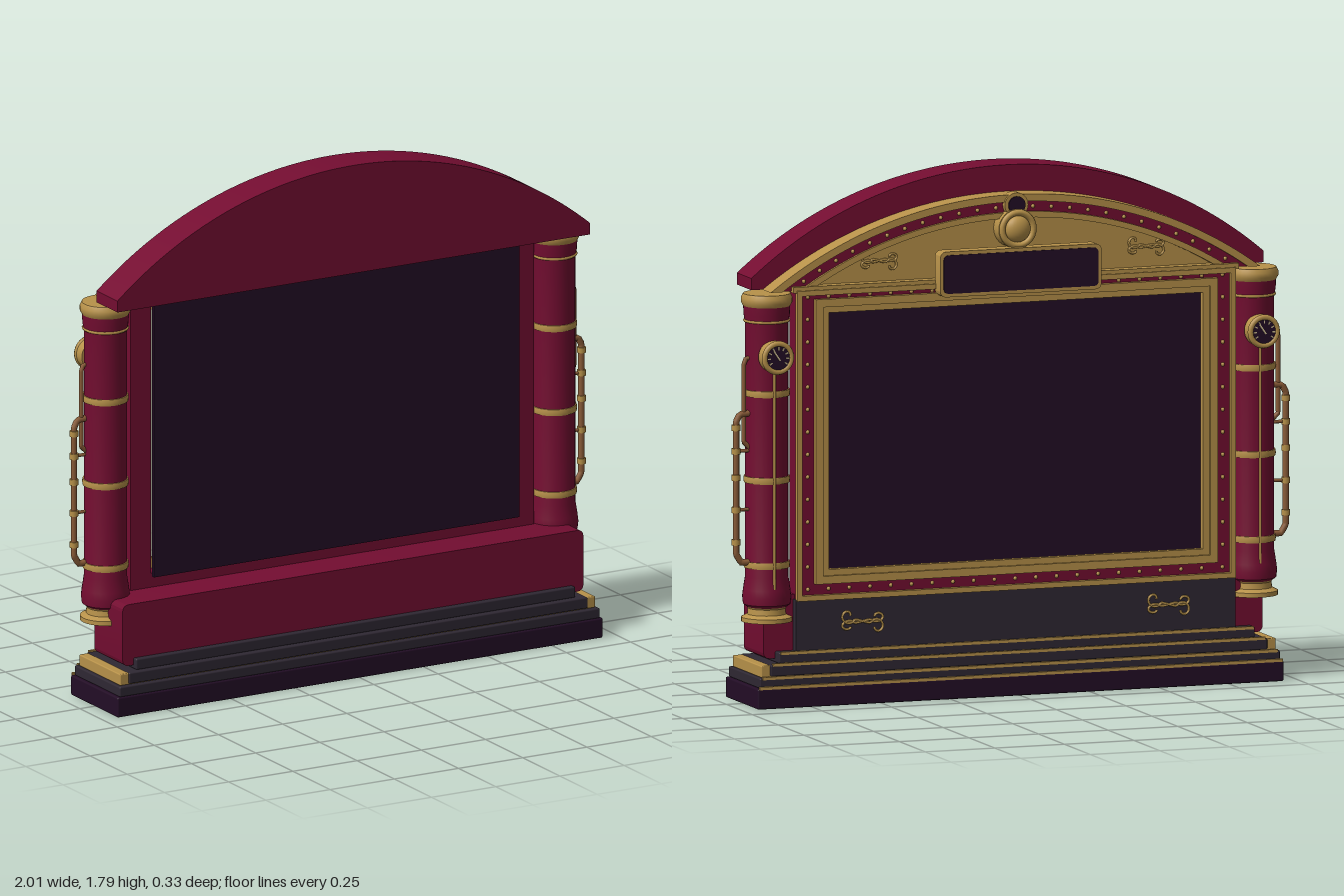
import * as THREE from 'three';
import { toCreasedNormals } from 'three/addons/utils/BufferGeometryUtils.js';
import { RoundedBoxGeometry } from 'three/addons/geometries/RoundedBoxGeometry.js';

function material(name, color) {
  const m = new THREE.MeshStandardMaterial({ color });
  m.name = name;
  return m;
}

export function createModel() {
  const crimson = material('crimson', 0x740d31);
  const gold = material('gold', 0xb8924a);
  const plum = material('darkPlum', 0x230d26);
  const charcoal = material('charcoal', 0x2f2833);
  const copper = material('copper', 0x8a5c38);
  const cream = material('cream', 0xd8c79a);

  const model = new THREE.Group();
  model.name = 'archedScreenCabinet';

  const add = (name, geo, mat, x = 0, y = 0, z = 0, parent = model) => {
    const mesh = new THREE.Mesh(geo, mat);
    mesh.name = name;
    mesh.position.set(x, y, z);
    parent.add(mesh);
    return mesh;
  };
  // box given by half width and y / z ranges
  const slab = (name, mat, hw, y0, y1, z0, z1, r = 0) => {
    const size = [hw * 2, y1 - y0, z1 - z0];
    const geo = r ? new RoundedBoxGeometry(...size, 2, r) : new THREE.BoxGeometry(...size);
    return add(name, geo, mat, 0, (y0 + y1) / 2, (z0 + z1) / 2);
  };
  const plate = (name, shape, mat, z0, z1) => {
    const geo = new THREE.ExtrudeGeometry(shape, { depth: z1 - z0, bevelEnabled: false, curveSegments: 40 });
    return add(name, toCreasedNormals(geo, 0.5), mat, 0, 0, z0);
  };
  const rect = (hw, y0, y1, path = new THREE.Shape()) => {
    path.moveTo(-hw, y0).lineTo(hw, y0).lineTo(hw, y1).lineTo(-hw, y1).closePath();
    return path;
  };
  const frame = (name, mat, outer, inner, z0, z1) => {
    const s = rect(...outer);
    s.holes.push(rect(...inner, new THREE.Path()));
    return plate(name, s, mat, z0, z1);
  };
  const roundRect = (hw, y0, y1, r) => {
    const s = new THREE.Shape();
    s.moveTo(-hw + r, y0).lineTo(hw - r, y0).quadraticCurveTo(hw, y0, hw, y0 + r);
    s.lineTo(hw, y1 - r).quadraticCurveTo(hw, y1, hw - r, y1);
    s.lineTo(-hw + r, y1).quadraticCurveTo(-hw, y1, -hw, y1 - r);
    s.lineTo(-hw, y0 + r).quadraticCurveTo(-hw, y0, -hw + r, y0);
    return s;
  };

  // stepped plinth
  slab('plinthBase', plum, 0.945, 0, 0.07, -0.157, 0.16, 0.006);
  slab('plinthStep', charcoal, 0.935, 0.07, 0.105, -0.148, 0.157, 0.005);
  slab('plinthGoldEnds', gold, 0.925, 0.105, 0.145, -0.135, 0.142, 0.004);
  slab('plinthMiddleStep', charcoal, 0.893, 0.108, 0.147, -0.14, 0.148, 0.005);
  slab('plinthTopStep', charcoal, 0.855, 0.147, 0.185, -0.12, 0.13, 0.005);
  [[0.94, 0.072, -0.156], [0.925, 0.104, -0.147], [0.885, 0.147, -0.137], [0.85, 0.182, -0.118]]
    .forEach(([hw, y, z]) => slab('plinthTrim', gold, hw, y - 0.005, y + 0.005, z - 0.005, z + 0.005));

  // lower body with a dark decorated panel behind
  plate('lowerBody', roundRect(0.897, 0.16, 0.375, 0.025), crimson, -0.08, 0.11);
  slab('lowerPanel', charcoal, 0.79, 0.18, 0.36, -0.105, -0.08);

  // screen frame
  frame('screenFrame', crimson, [0.785, 0.36, 1.412], [0.706, 0.424, 1.366], -0.1, -0.03);
  frame('outerFrameTrim', gold, [0.788, 0.355, 1.412], [0.77, 0.373, 1.394], -0.118, -0.098);
  frame('innerFrameTrim', gold, [0.722, 0.41, 1.38], [0.695, 0.437, 1.353], -0.118, -0.095);
  frame('innerFrameStep', gold, [0.706, 0.424, 1.366], [0.672, 0.458, 1.332], -0.108, -0.085);
  slab('screen', plum, 0.712, 0.418, 1.372, -0.012, 0);

  // rivets around the frame
  const rivetGeo = new THREE.SphereGeometry(0.007, 8, 6);
  const rivet = (x, y, z = -0.101) => add('rivet', rivetGeo, gold, x, y, z);
  for (let i = 0; i <= 20; i++) {
    const x = -0.745 + i * 0.0745;
    rivet(x, 0.392);
    rivet(x, 1.388);
  }
  for (let i = 1; i < 13; i++) {
    const y = 0.392 + (i * 0.996) / 13;
    rivet(-0.746, y);
    rivet(0.746, y);
  }

  // arched pediment
  const crown = new THREE.Shape();
  const ca = Math.asin((1.45 - 0.375) / 1.415);
  crown.moveTo(-0.92, 1.41).lineTo(0.92, 1.41).lineTo(0.92, 1.45);
  crown.absarc(0, 0.375, 1.415, ca, Math.PI - ca, false);
  crown.closePath();
  plate('pediment', crown, crimson, -0.025, 0.115);

  // concentric arch bands behind the pediment
  const cy = 0.22, foot = 1.41;
  const footAngle = (r) => Math.asin((foot - cy) / r);
  const arch = (rOut, rIn) => {
    const s = new THREE.Shape();
    const a = footAngle(rOut);
    s.absarc(0, cy, rOut, a, Math.PI - a, false);
    if (rIn) {
      const b = footAngle(rIn);
      s.absarc(0, cy, rIn, Math.PI - b, b, true);
    }
    s.closePath();
    return s;
  };
  plate('tympanum', arch(1.46), gold, -0.075, -0.025);
  plate('outerArchTrim', arch(1.48, 1.455), gold, -0.105, -0.025);
  plate('archBand', arch(1.457, 1.418), crimson, -0.093, -0.07);
  plate('innerArchTrim', arch(1.42, 1.4), gold, -0.104, -0.07);
  const ra = footAngle(1.437) + 0.04;
  for (let i = 0; i <= 24; i++) {
    const a = ra + ((Math.PI - 2 * ra) * i) / 24;
    rivet(Math.cos(a) * 1.437, cy + Math.sin(a) * 1.437, -0.094);
  }
  slab('tympanumSill', gold, 0.8, 1.405, 1.425, -0.112, -0.07);

  // keystone, rosette and plaque
  const disc = (name, r, depth, mat, x, y, z, r2 = r) => {
    const geo = new THREE.CylinderGeometry(r, r2, depth, 32);
    geo.rotateX(-Math.PI / 2);
    return add(name, geo, mat, x, y, z);
  };
  disc('keystone', 0.042, 0.04, gold, 0, 1.665, -0.095);
  disc('keystoneFace', 0.03, 0.008, plum, 0, 1.665, -0.117);
  disc('rosetteBase', 0.068, 0.05, gold, 0, 1.585, -0.1);
  add('rosetteRim', new THREE.TorusGeometry(0.056, 0.011, 10, 32), gold, 0, 1.585, -0.128);
  const dome = add('rosetteDome', new THREE.SphereGeometry(0.045, 24, 16), gold, 0, 1.585, -0.125);
  dome.scale.z = 0.6;
  plate('plaque', roundRect(0.29, 1.37, 1.525, 0.025), gold, -0.157, -0.105);
  plate('plaqueFace', roundRect(0.278, 1.382, 1.513, 0.02), plum, -0.161, -0.156);

  // scroll ornaments
  const scroll = (x, y, z, s) => {
    const g = new THREE.Group();
    g.name = 'scrollOrnament';
    g.position.set(x, y, z);
    for (const k of [0, 1]) {
      for (const m of [1, -1]) {
        const pts = [new THREE.Vector3(0, 0, 0)];
        for (let i = 0; i <= 12; i++) {
          const a = -2.6 + i * 0.48, r = s * (0.42 - i * 0.025);
          pts.push(new THREE.Vector3(s * 0.75 + Math.cos(a) * r, m * (s * 0.3 + Math.sin(a) * r) * (m < 0 ? 0.7 : 1), 0));
        }
        const tube = new THREE.TubeGeometry(new THREE.CatmullRomCurve3(pts), 36, 0.0045, 5);
        add('scroll', tube, gold, 0, 0, 0, g).rotation.z = k * Math.PI;
      }
    }
    model.add(g);
  };
  for (const sx of [-1, 1]) {
    scroll(sx * 0.55, 0.275, -0.107, 0.07);
    scroll(sx * 0.48, 1.495, -0.078, 0.06);
  }

  // columns
  const lathe = (pts) => toCreasedNormals(
    new THREE.LatheGeometry(pts.map(([r, y]) => new THREE.Vector2(r, y)), 32), 0.6);
  const shaftGeo = lathe([[0.06, 0.33], [0.08, 0.345], [0.083, 0.37], [0.08, 0.395], [0.073, 0.44],
    [0.073, 1.3], [0.078, 1.33], [0.08, 1.37]]);
  const footGeo = lathe([[0, 0.285], [0.086, 0.285], [0.086, 0.3], [0.066, 0.31], [0.064, 0.33], [0.073, 0.345], [0, 0.345]]);
  const capGeo = lathe([[0, 1.36], [0.08, 1.36], [0.087, 1.373], [0.087, 1.388], [0.08, 1.402], [0, 1.402]]);
  const ringGeo = lathe([[0.07, -0.011], [0.077, -0.011], [0.079, 0], [0.077, 0.011], [0.07, 0.011]]);
  const beadGeo = new THREE.TorusGeometry(0.075, 0.005, 6, 32).rotateX(Math.PI / 2);
  const v = (x, y) => new THREE.Vector3(x, y, 0);

  for (const s of [-1, 1]) {
    const cx = s * 0.873, cz = -0.047;
    add('columnShaft', shaftGeo, crimson, cx, 0, cz);
    add('columnFoot', footGeo, gold, cx, 0, cz);
    add('columnCapital', capGeo, gold, cx, 0, cz);
    for (const y of [0.48, 0.77, 1.065]) add('columnRing', ringGeo, gold, cx, y, cz);
    add('columnBead', beadGeo, gold, cx, 1.31, cz);
    add('columnRod', new THREE.CylinderGeometry(0.005, 0.005, 0.8, 8), gold, cx, 0.8, cz - 0.075);

    // pressure gauge
    disc('gaugeBody', 0.054, 0.045, gold, cx, 1.195, -0.135);
    add('gaugeRim', new THREE.TorusGeometry(0.048, 0.01, 8, 32), gold, cx, 1.195, -0.156);
    disc('gaugeFace', 0.043, 0.006, plum, cx, 1.195, -0.159);
    for (let i = 0; i < 9; i++) {
      const a = -0.6 + (i * (Math.PI + 1.2)) / 8;
      const tick = add('gaugeTick', new THREE.BoxGeometry(0.011, 0.004, 0.003), cream,
        cx + Math.cos(a) * 0.033, 1.195 + Math.sin(a) * 0.033, -0.163);
      tick.rotation.z = a;
    }
    const needle = add('gaugeNeedle', new THREE.BoxGeometry(0.005, 0.04, 0.003), cream, cx + 0.006, 1.203, -0.164);
    needle.rotation.z = -0.6;

    // side pipes with collars and brackets
    const pipe = (name, pts, r, mat) => {
      const path = new THREE.CurvePath();
      for (let i = 1; i < pts.length; i++) path.add(new THREE.LineCurve3(pts[i - 1], pts[i]));
      add(name, new THREE.TubeGeometry(path, 60, r, 10), mat, 0, 0, -0.06);
    };
    pipe('outerPipe', [v(s * 0.93, 0.49), v(s * 0.97, 0.49), v(s * 0.988, 0.52), v(s * 0.988, 0.97), v(s * 0.975, 0.995), v(s * 0.93, 0.998)], 0.011, copper);
    pipe('innerPipe', [v(s * 0.93, 1.185), v(s * 0.952, 1.185), v(s * 0.96, 1.165), v(s * 0.96, 0.9), v(s * 0.94, 0.88)], 0.008, copper);
    const collar = new THREE.CylinderGeometry(0.015, 0.015, 0.02, 12);
    for (const y of [0.56, 0.67, 0.78, 0.87, 0.95]) add('pipeCollar', collar, gold, s * 0.988, y, -0.06);
    for (const y of [0.67, 0.87]) {
      const arm = add('pipeBracket', new THREE.CylinderGeometry(0.006, 0.006, 0.06, 8), copper, s * 0.96, y, -0.06);
      arm.rotation.z = Math.PI / 2;
    }
  }
  return model;
}
